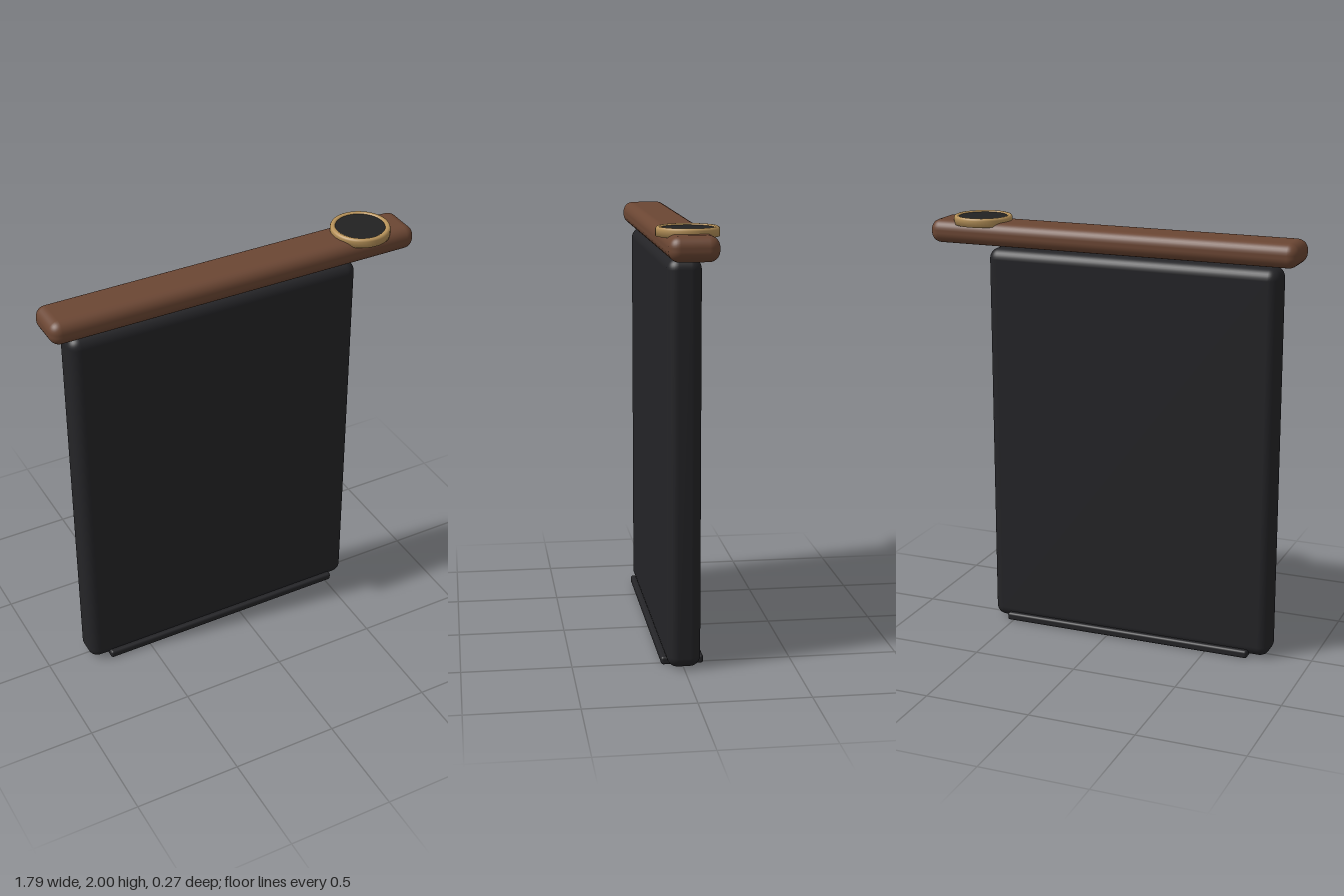
import * as THREE from 'three';
import { RoundedBoxGeometry } from 'three/addons/geometries/RoundedBoxGeometry.js';

const material = (color) => new THREE.MeshStandardMaterial({ color });

export function createModel() {
  const model = new THREE.Group();
  const black = material(0x242427);
  const brown = material(0x6b4633);
  const gold = material(0xb8935a);

  const add = (name, geometry, mat, x, y, z = 0) => {
    const mesh = new THREE.Mesh(geometry, mat);
    mesh.name = name;
    mesh.position.set(x, y, z);
    model.add(mesh);
    return mesh;
  };

  // Tall slim body, set slightly to the right under the bar
  add('body', new RoundedBoxGeometry(1.415, 1.85, 0.153, 4, 0.05), black, -0.097, 0.93);

  // Thin foot strip, a little deeper than the body
  add('footStrip', new RoundedBoxGeometry(1.24, 0.038, 0.194, 3, 0.012), black, -0.09, 0.019);

  // Rounded bar floating just above the body
  add('topBar', new RoundedBoxGeometry(1.79, 0.11, 0.217, 4, 0.048), brown, 0, 1.923);

  // Dial ring: closed profile with a softened upper rim
  const profile = [
    [0.113, 0], [0.137, 0], [0.137, 0.03], [0.134, 0.037],
    [0.128, 0.04], [0.12, 0.04], [0.115, 0.037], [0.113, 0.033], [0.113, 0],
  ].map(([r, y]) => new THREE.Vector2(r, y));
  add('dialRing', new THREE.LatheGeometry(profile, 48), gold, 0.66, 1.96);

  // Dark face inside the ring, just below its rim
  add('dialFace', new THREE.CylinderGeometry(0.1135, 0.1135, 0.034, 48), material(0x222222), 0.66, 1.977);

  return model;
}
